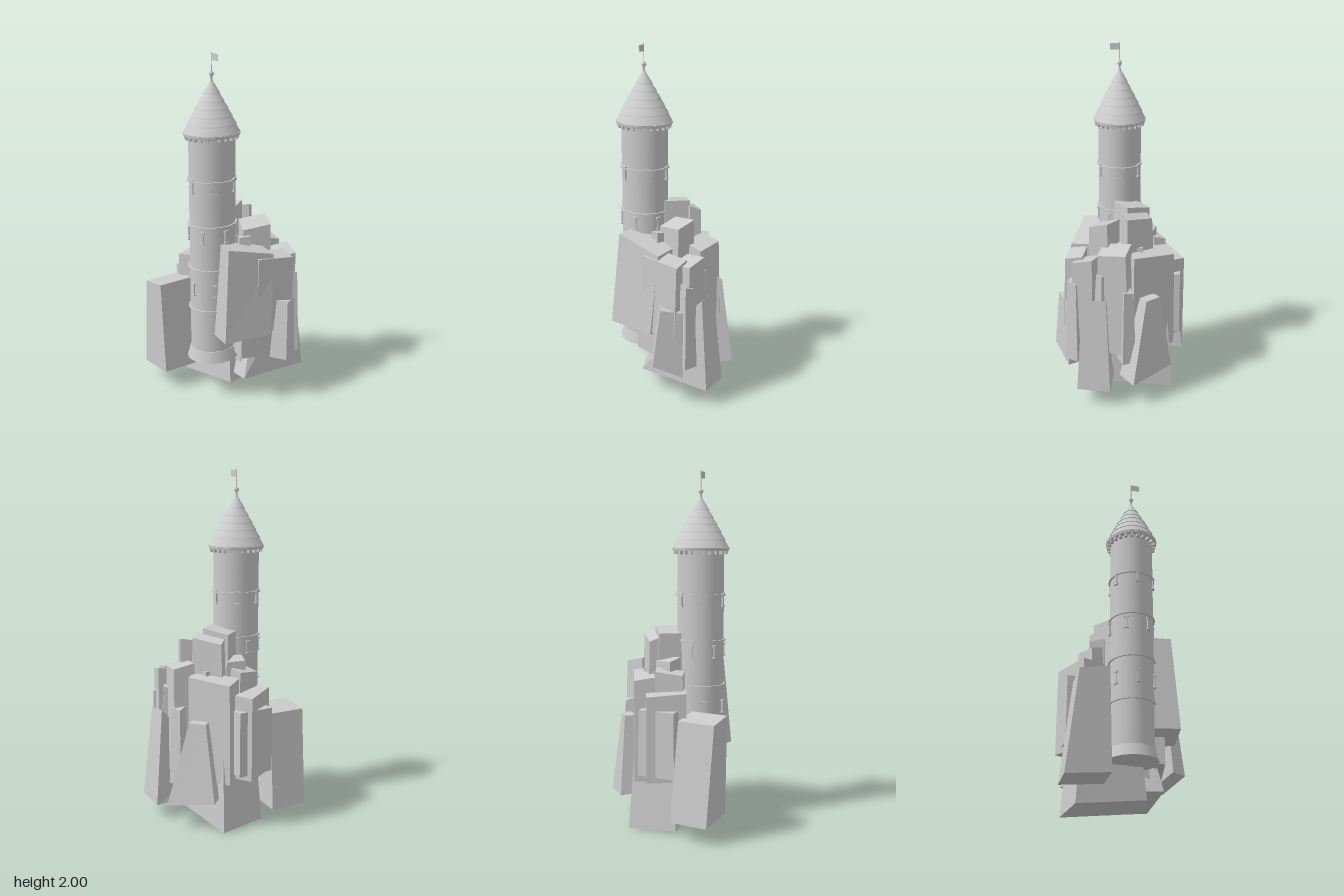
import * as THREE from 'three';

const stone = new THREE.MeshStandardMaterial({ color: 0xcccccc });
stone.name = 'paleStone';

function add(parent, name, geometry, x = 0, y = 0, z = 0) {
  const mesh = new THREE.Mesh(geometry, stone);
  mesh.name = name;
  mesh.position.set(x, y, z);
  parent.add(mesh);
  return mesh;
}

const lathe = (pts, n) => new THREE.LatheGeometry(pts.map(p => new THREE.Vector2(p[0], p[1])), n);

// Hewn block: a box whose upper end is scaled, shifted and slanted
function rock(parent, name, { at, y, size, yaw = 0, taper = [1, 1], lean = [0, 0], slope = [0, 0], foot = [0, 0] }) {
  const g = new THREE.BoxGeometry(1, 1, 1).toNonIndexed();
  const p = g.attributes.position;
  const c = Math.cos(yaw), s = Math.sin(yaw);
  for (let i = 0; i < p.count; i++) {
    const t = p.getY(i) + 0.5;
    const lx = p.getX(i) * size[0] * (1 + (taper[0] - 1) * t);
    const lz = p.getZ(i) * size[1] * (1 + (taper[1] - 1) * t);
    const x = lx * c + lz * s, z = -lx * s + lz * c;
    const top = y[1] + slope[0] * x + slope[1] * z;
    const bottom = y[0] + foot[0] * x + foot[1] * z;
    p.setXYZ(i, at[0] + x + lean[0] * t, bottom + (top - bottom) * t, at[1] + z + lean[1] * t);
  }
  g.computeVertexNormals();
  add(parent, name, g);
}

function buildTower() {
  const tower = new THREE.Group();
  tower.name = 'tower';
  tower.position.set(0.014, 0, 0.143);
  tower.scale.z = 1.1;

  add(tower, 'shaft', new THREE.CylinderGeometry(0.121, 0.121, 1.28, 32, 1, true), 0, 0.93, 0);
  // Flared foot with a closed underside
  add(tower, 'footFlare', new THREE.CylinderGeometry(0.124, 0.141, 0.066, 32), 0, 0.277, 0);

  // String courses
  for (const y of [0.56, 0.806, 1.06, 1.315]) {
    add(tower, 'stringCourse', new THREE.CylinderGeometry(0.13, 0.13, 0.011, 32), 0, y, 0);
  }

  // Arrow slits, staggered from level to level
  for (const [y, turn] of [[0.685, 0], [1.002, Math.PI / 6], [1.287, 0]]) {
    for (let i = 0; i < 6; i++) {
      const slit = new THREE.Group();
      slit.name = 'arrowSlit';
      slit.rotation.y = turn + i * Math.PI / 3;
      add(slit, 'slitHead', new THREE.BoxGeometry(0.026, 0.011, 0.016), 0, y + 0.033, 0.123);
      add(slit, 'slitSill', new THREE.BoxGeometry(0.026, 0.009, 0.016), 0, y - 0.033, 0.123);
      add(slit, 'slitPost', new THREE.BoxGeometry(0.014, 0.058, 0.012), 0, y, 0.122);
      tower.add(slit);
    }
  }

  // Corbels below the eaves
  for (let i = 0; i < 24; i++) {
    const a = i * Math.PI / 12;
    const corbel = add(tower, 'corbel', new THREE.BoxGeometry(0.014, 0.02, 0.022),
      Math.sin(a) * 0.129, 1.551, Math.cos(a) * 0.129);
    corbel.rotation.y = a;
  }

  // Stepped conical roof, each course with an overhanging lip
  const radii = [0.148, 0.128, 0.107, 0.087, 0.066, 0.045];
  const heights = [1.575, 1.622, 1.665, 1.705, 1.745, 1.785, 1.846];
  add(tower, 'eaves', new THREE.CylinderGeometry(0.148, 0.145, 0.017, 20), 0, 1.568, 0);
  radii.forEach((r, i) => {
    const upper = i < 5 ? radii[i + 1] - 0.007 : 0.008;
    const low = heights[i];
    add(tower, 'roofLip', new THREE.CylinderGeometry(r - 0.003, r, 0.007, 20), 0, low - 0.001, 0);
    add(tower, 'roofCourse', lathe([[r - 0.003, low + 0.002], [upper, heights[i + 1]]], 20));
  });

  // Finial, pole and pennant
  add(tower, 'finial', lathe([[0.012, 1.835], [0.006, 1.855], [0.006, 1.873], [0.013, 1.882], [0.012, 1.89], [0.006, 1.9], [0, 1.906]], 10));
  add(tower, 'flagPole', new THREE.CylinderGeometry(0.0025, 0.0025, 0.1, 6), 0, 1.95, 0);
  add(tower, 'flag', new THREE.BoxGeometry(0.052, 0.036, 0.003), 0.026, 1.976, 0);
  return tower;
}

function buildCrag() {
  const crag = new THREE.Group();
  crag.name = 'crag';
  const r = (name, spec) => rock(crag, name, spec);

  // Footing blocks
  r('footing', { at: [-0.1, -0.03], y: [0.035, 0.42], size: [0.39, 0.28], yaw: 0.1, taper: [0.85, 0.85], foot: [0.13, 0.03] });
  r('footing', { at: [0.12, -0.06], y: [0.26, 0.5], size: [0.24, 0.26], yaw: -0.2, foot: [-0.1, 0.1] });
  r('core', { at: [0, -0.06], y: [0.2, 0.9], size: [0.28, 0.2], taper: [0.9, 0.9] });

  // Front left pillar
  r('frontPillar', { at: [-0.263, 0.255], y: [0.11, 0.665], size: [0.235, 0.22], yaw: -0.05, taper: [0.68, 0.98], lean: [0.022, 0.018], slope: [0.15, 0], foot: [0.08, 0] });

  // Right flank slabs
  r('rightSlab', { at: [0.21, 0.083], y: [0.42, 0.93], size: [0.15, 0.29], yaw: -0.2, taper: [0.95, 0.97], lean: [-0.025, -0.04], slope: [-0.1, 0.22] });
  r('rightSlab', { at: [0.252, -0.09], y: [0.43, 0.875], size: [0.105, 0.24], yaw: -0.15, taper: [0.95, 0.95], lean: [-0.01, -0.01], slope: [-0.2, 0.08] });
  r('rightFoot', { at: [0.3, -0.145], y: [0.23, 0.6], size: [0.1, 0.17], yaw: 0.55, taper: [0.75, 0.75], lean: [-0.01, -0.02], foot: [0.2, 0.4], slope: [0, 0.2] });

  // Back right slabs, the lowest rising towards the back
  r('backRightSlab', { at: [0.13, -0.155], y: [0.11, 0.47], size: [0.19, 0.43], yaw: -0.07, taper: [0.7, 0.76], foot: [0.05, 0.05], slope: [0, -1.1] });
  r('backRightBlock', { at: [0.19, -0.215], y: [0.38, 0.86], size: [0.12, 0.13], yaw: -0.3, lean: [0, -0.005], slope: [-0.2, -0.2] });
  r('backRightShard', { at: [0.25, -0.235], y: [0.25, 0.74], size: [0.08, 0.11], yaw: -0.5, taper: [0.7, 0.7], slope: [0.2, 0.3] });

  // Back slabs
  r('backSlab', { at: [0.02, -0.225], y: [0.3, 0.92], size: [0.19, 0.14], yaw: -0.25, taper: [0.85, 0.85], lean: [0.01, 0], slope: [-0.15, 0.2] });
  r('backShard', { at: [0.09, -0.24], y: [0.3, 0.78], size: [0.06, 0.17], yaw: -0.5, taper: [0.6, 0.6], slope: [0.3, 0] });
  r('backWedge', { at: [-0.15, -0.245], y: [0.17, 0.63], size: [0.28, 0.13], yaw: 0.69, taper: [0.35, 0.45], lean: [-0.02, 0.02], foot: [-0.05, 0.15] });
  r('backShard', { at: [-0.04, -0.275], y: [0.25, 0.7], size: [0.08, 0.09], yaw: 0.4, taper: [0.7, 0.7], slope: [0.3, 0.2] });

  // Left flank blocks
  r('leftSlab', { at: [-0.165, -0.125], y: [0.28, 0.87], size: [0.27, 0.12], yaw: 0.51, taper: [0.95, 0.95], slope: [0.15, 0.1] });
  r('leftBlock', { at: [-0.25, 0.055], y: [0.3, 0.79], size: [0.15, 0.22], yaw: 0.5, taper: [0.98, 0.98], slope: [0.08, 0.05] });
  r('leftCorner', { at: [-0.28, 0.04], y: [0.33, 0.7], size: [0.13, 0.22], taper: [0.97, 0.97] });
  r('leftShard', { at: [-0.2, 0.055], y: [0.4, 0.9], size: [0.075, 0.17], yaw: 0.3, taper: [0.9, 0.9], slope: [0.2, -0.2] });
  r('leftShard', { at: [-0.15, 0.02], y: [0.5, 0.96], size: [0.09, 0.12], yaw: -0.3, taper: [0.9, 0.9], slope: [0.2, 0.1] });

  // Summit blocks behind the tower
  r('summitBlock', { at: [-0.06, -0.015], y: [0.5, 1.115], size: [0.17, 0.16], yaw: 0.62, taper: [0.88, 0.88], slope: [0.15, -0.1] });
  r('summitSlab', { at: [-0.1, -0.11], y: [0.5, 1.08], size: [0.2, 0.07], yaw: 0.65, taper: [0.85, 0.9], lean: [0.01, 0], slope: [0.35, 0.2] });
  r('summitBlock', { at: [0.09, -0.1], y: [0.5, 1.03], size: [0.12, 0.165], yaw: -0.42, taper: [0.95, 0.98], slope: [-0.2, -0.25] });
  r('summitShard', { at: [0.12, 0], y: [0.5, 0.97], size: [0.07, 0.08], yaw: -0.5, taper: [0.8, 0.8], slope: [0.2, 0] });
  return crag;
}

export function createModel() {
  const model = new THREE.Group();
  model.name = 'towerOnCrag';
  model.add(buildTower(), buildCrag());
  return model;
}
